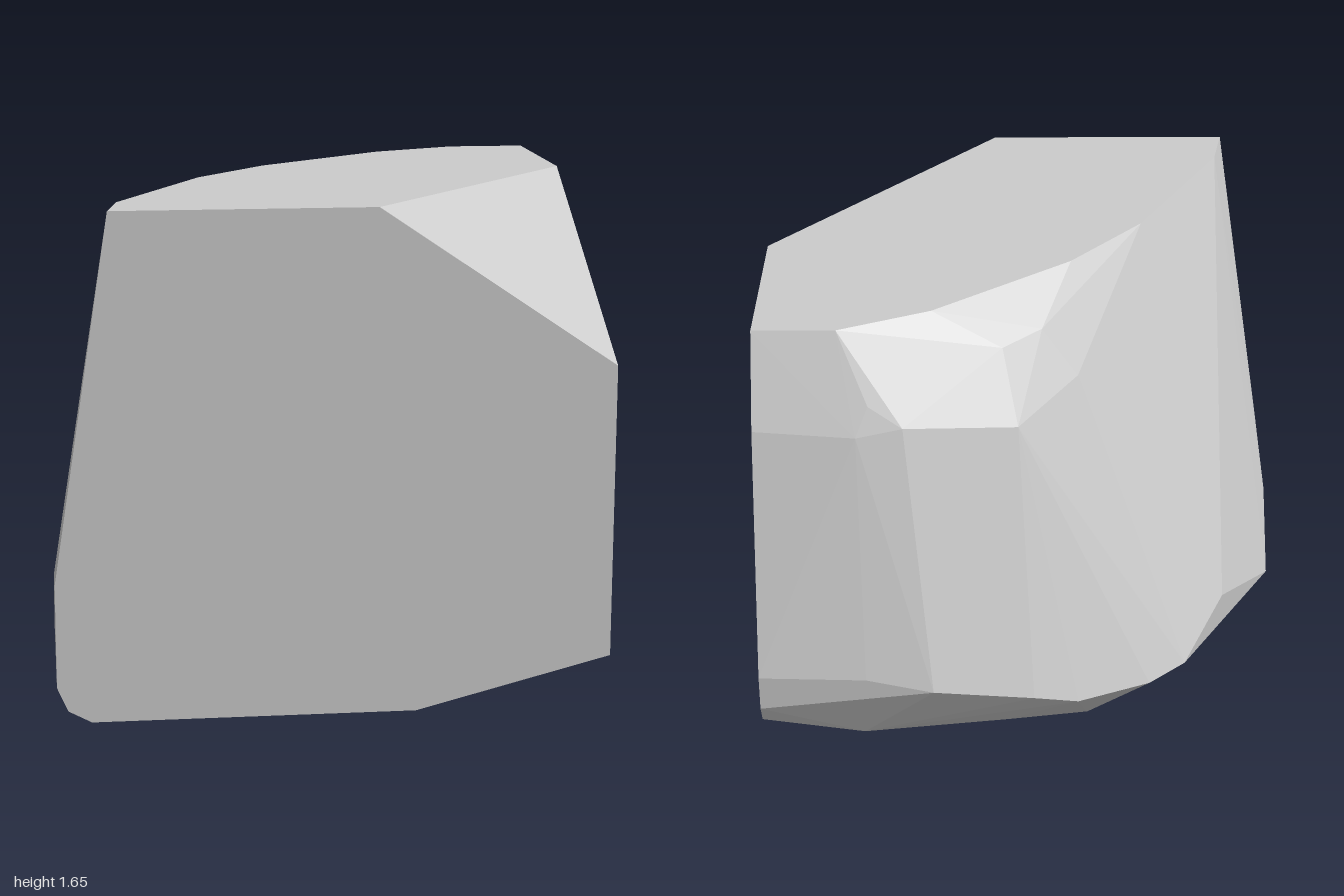
import * as THREE from 'three';
import { ConvexGeometry } from 'three/addons/geometries/ConvexGeometry.js';

// Faceted boulder: three flat cut sides, two sliced corners, worn rounded back.
const TOP = 1.65;

// Flat top outline, [x, z]
const topRim = [
  [0.13, 1], [-0.715, 1], [-0.68, 0.8], [-0.38, 0.2], [-0.13, -0.11],
  [0.33, -0.49], [0.63, -0.63], [0.9, -0.63], [0.9, 0.02],
];

// Flat underside outline, [x, z]
const baseRim = [
  [0.26, 1], [-0.79, 1], [-0.8, 0.41], [-0.65, 0.1], [-0.45, -0.19],
  [0.9, 0.13], [0.9, 0.47],
];

// Front cut, z = 1, [x, y]
const frontCut = [[0.9, 1.13], [0.9, 0.165], [-0.865, 0.04], [-0.9, 0.12], [-0.9, 0.46]];

// Side cut, x = 0.9, [y, z]
const sideCut = [
  [1.36, -0.77], [0.57, -1], [0.45, -1], [0.38, -0.96], [0.12, -0.44], [0.04, -0.18],
];

// Worn shoulder below the top, [x, y, z]
const shoulder = [
  [0.57, 1.34, -0.78], [0.53, 1.43, -0.735], [0.42, 1.36, -0.755], [0.35, 1.49, -0.6],
  [0.1, 1.52, -0.5], [0.05, 1.3, -0.635], [-0.03, 1.53, -0.38], [-0.15, 1.36, -0.385],
  [-0.25, 1.33, -0.19], [-0.27, 1.15, -0.22],
];

// Widest belt around the back, [x, y, z]
const belt = [
  [0.55, 0.56, -1], [0.33, 0.51, -1], [0, 0.41, -0.89], [-0.15, 0.34, -0.81],
  [-0.4, 0.29, -0.63], [-0.53, 0.285, -0.5], [-0.68, 0.38, -0.21],
  [-0.9, 0.37, 0.57], [-0.9, 0.13, 0.35],
];

// Undercut between belt and base, [x, y, z]
const undercut = [[0.565, 0.3, -0.92], [0.09, 0.19, -0.7], [-0.19, 0.115, -0.55]];

export function createModel() {
  const points = [
    ...topRim.map(([x, z]) => [x, TOP, z]),
    ...baseRim.map(([x, z]) => [x, 0, z]),
    ...frontCut.map(([x, y]) => [x, y, 1]),
    ...sideCut.map(([y, z]) => [0.9, y, z]),
    ...shoulder, ...belt, ...undercut,
  ].map((p) => new THREE.Vector3(...p));

  const boulder = new THREE.Mesh(
    new ConvexGeometry(points),
    new THREE.MeshStandardMaterial({ color: 0xcccccc, flatShading: true }),
  );
  boulder.name = 'boulder';

  const group = new THREE.Group();
  group.name = 'cutBoulder';
  group.add(boulder);
  return group;
}
